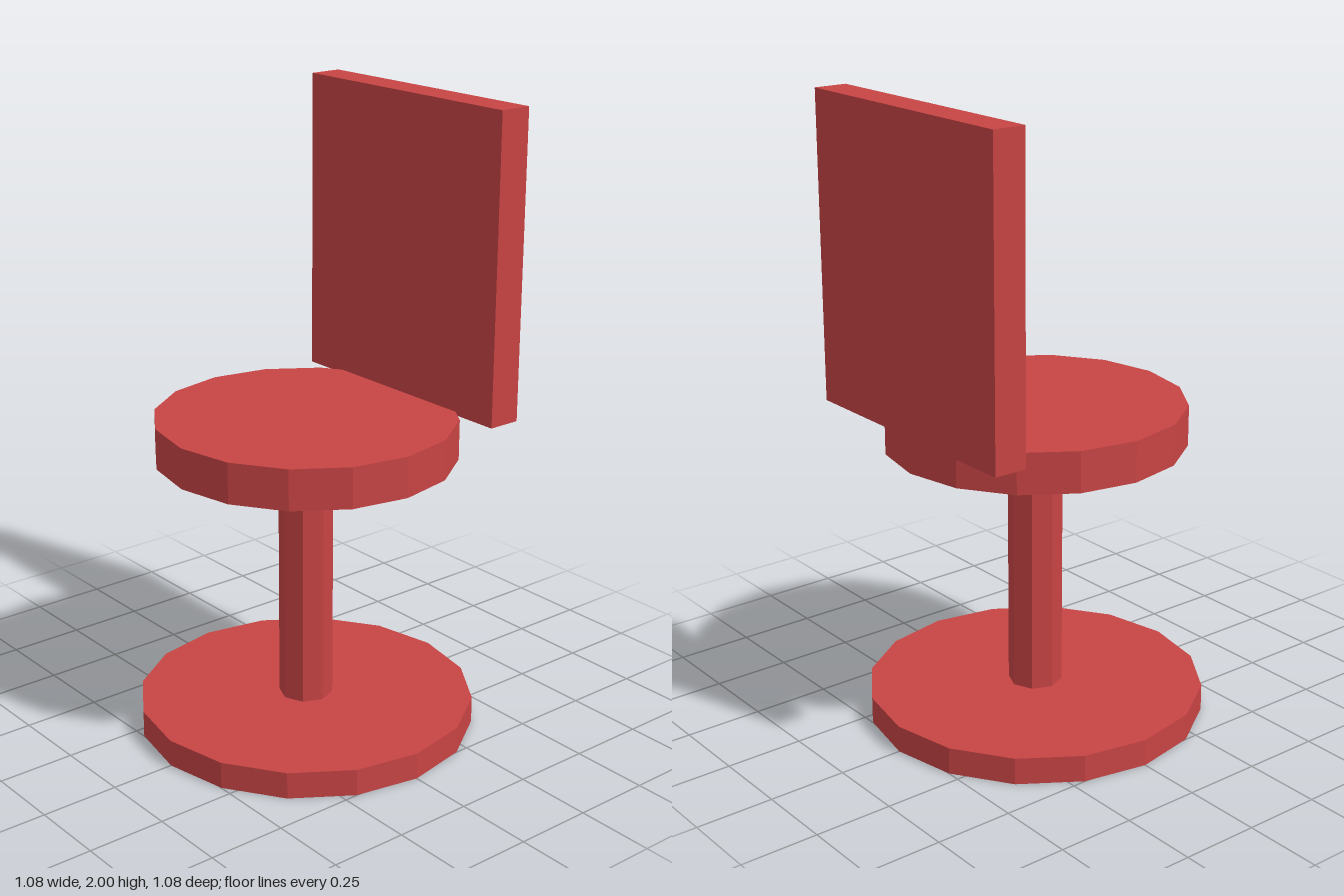
import * as THREE from 'three';

export function createModel() {
  const model = new THREE.Group();
  const material = new THREE.MeshStandardMaterial({ color: 0xc84444, flatShading: true });

  const add = (name, geometry, y, z = 0) => {
    const mesh = new THREE.Mesh(geometry, material);
    mesh.name = name;
    mesh.position.set(0, y, z);
    model.add(mesh);
  };

  // Upright faceted disc or post spanning two heights
  const addRound = (name, radius, bottom, top, sides) =>
    add(name, new THREE.CylinderGeometry(radius, radius, top - bottom, sides), (bottom + top) / 2);

  addRound('base', 0.5405, 0, 0.0865, 16);
  addRound('post', 0.0865, 0.08, 0.915, 8);
  addRound('seat', 0.4757, 0.908, 1.038, 16);

  // Flat backrest, sunk slightly into the rear of the seat
  add('backrest', new THREE.BoxGeometry(0.865, 0.973, 0.108), 1.5135, -0.4324);

  return model;
}
